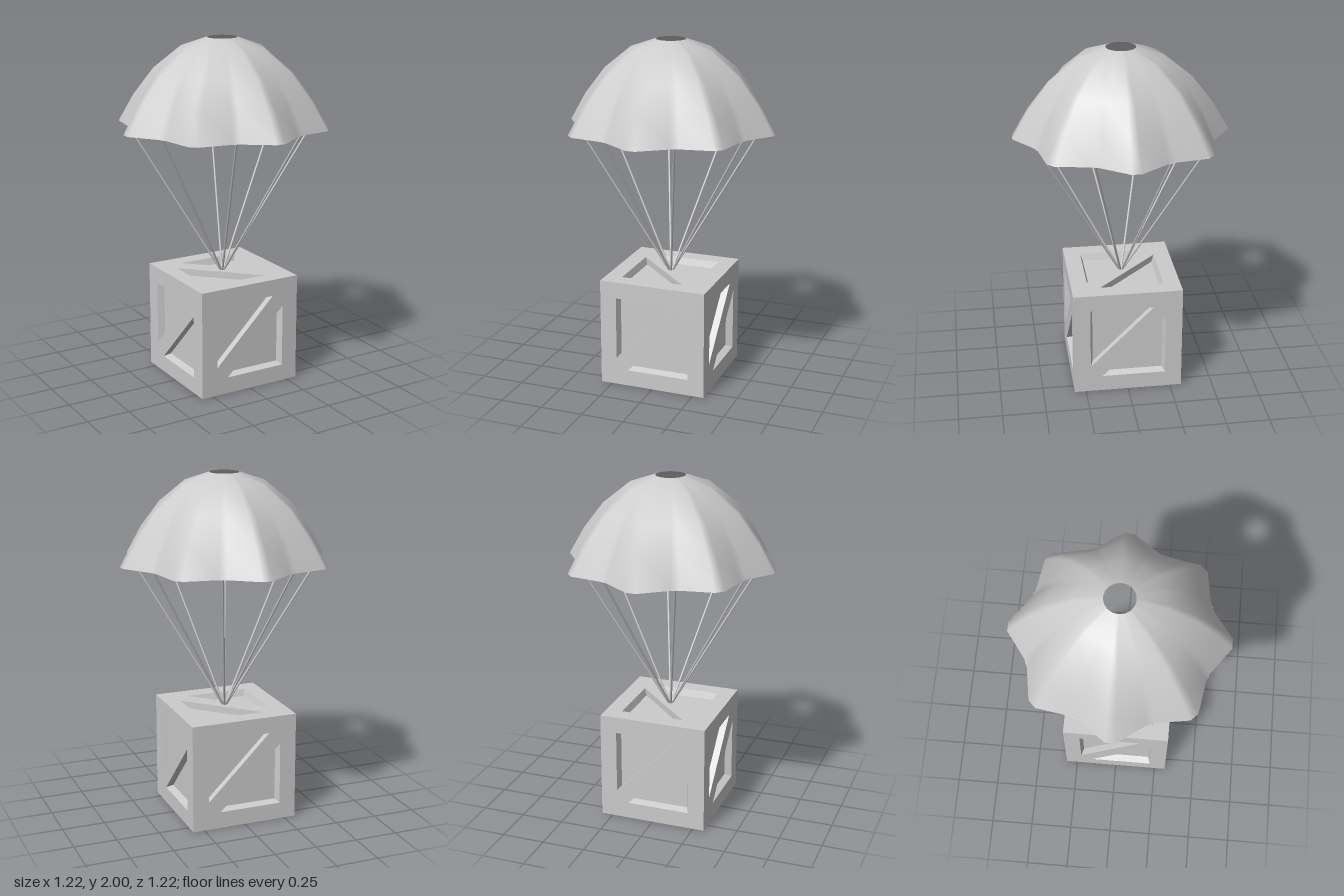
import * as THREE from 'three';

const grey = new THREE.MeshStandardMaterial({ color: 0xcccccc });
const greyDouble = new THREE.MeshStandardMaterial({ color: 0xcccccc, side: THREE.DoubleSide });

const HALF = 0.317;          // half the crate's edge
const DEPTH = 0.04;          // depth of the recessed panels
const RIM = 1.5;             // height of the canopy's hem

function addMesh(parent, name, geometry, material) {
  const mesh = new THREE.Mesh(geometry, material);
  mesh.name = name;
  parent.add(mesh);
  return mesh;
}

// Triangular recess: sloped outer walls, straight diagonal wall, flat floor
const outer = [[-0.22, 0.22], [-0.22, -0.15], [0.15, 0.22]];
const inner = [[-0.205, 0.205], [-0.205, -0.135], [0.135, 0.205]];

function recessGeometry() {
  const positions = [];
  const top = (i) => [...outer[i], 0];
  const low = (i) => [...inner[i], -DEPTH];
  for (let i = 0; i < 3; i++) {
    const j = (i + 1) % 3;
    positions.push(...top(i), ...top(j), ...low(j), ...top(i), ...low(j), ...low(i));
  }
  positions.push(...low(0), ...low(1), ...low(2));
  const geometry = new THREE.BufferGeometry();
  geometry.setAttribute('position', new THREE.Float32BufferAttribute(positions, 3));
  geometry.computeVertexNormals();
  return geometry;
}

// Flat square frame with two triangular openings, leaving a diagonal brace
function frameGeometry() {
  const corners = [[-HALF, -HALF], [HALF, -HALF], [HALF, HALF], [-HALF, HALF]];
  const shape = new THREE.Shape(corners.map(([x, y]) => new THREE.Vector2(x, y)));
  for (const s of [1, -1]) {
    shape.holes.push(new THREE.Path(outer.map(([x, y]) => new THREE.Vector2(s * x, s * y))));
  }
  return new THREE.ShapeGeometry(shape);
}

function createCrate() {
  const crate = new THREE.Group();
  crate.name = 'crate';
  const frame = frameGeometry();
  const recess = recessGeometry();
  const q = Math.PI / 2;
  // rotation about x, about y, and within the face
  const sides = [
    ['front', 0, 0, 0], ['left', 0, q, 0], ['back', 0, 2 * q, 0], ['right', 0, -q, 0],
    ['top', -q, 0, q], ['bottom', q, 0, q],
  ];
  for (const [name, rx, ry, rz] of sides) {
    const side = new THREE.Group();
    side.name = name + 'Side';
    side.rotation.set(rx, ry, rz);
    side.translateZ(HALF);
    addMesh(side, 'frame', frame, grey);
    addMesh(side, 'upperPanel', recess, grey);
    addMesh(side, 'lowerPanel', recess, grey).rotation.z = Math.PI;
    crate.add(side);
  }
  crate.position.y = HALF;
  return crate;
}

// Open canopy: eight ridges with valleys between, folds deepening to the hem
function canopyGeometry() {
  // ridge radius, height, valley radius relative to the ridge
  const rings = [
    [0.085, 2.0, 1], [0.24, 1.945, 0.965], [0.4, 1.815, 0.925], [0.52, 1.66, 0.89], [0.612, RIM, 0.87],
  ];
  const step = Math.PI / 4;
  const half = 0.046; // half-width angle of each ridge and valley crest
  const positions = [];
  const index = [];
  const n = 32;
  rings.forEach(([r, y, fold], k) => {
    for (let i = 0; i < n; i++) {
      const crest = Math.floor(i / 2);
      const angle = crest * step / 2 + (i % 2 ? half : -half);
      const radius = crest % 2 ? r * fold : r;
      positions.push(radius * Math.sin(angle), y, radius * Math.cos(angle));
      if (k === 0) continue;
      const a = (k - 1) * n + i, b = (k - 1) * n + (i + 1) % n;
      index.push(a, a + n, b + n, a, b + n, b);
    }
  });
  const geometry = new THREE.BufferGeometry();
  geometry.setAttribute('position', new THREE.Float32BufferAttribute(positions, 3));
  geometry.setIndex(index);
  geometry.computeVertexNormals();
  return geometry;
}

// Thin cords from the valleys of the hem down to the crate's lid
function createCords() {
  const cords = new THREE.Group();
  cords.name = 'cords';
  const up = new THREE.Vector3(0, 1, 0);
  for (let i = 0; i < 8; i++) {
    const angle = (i + 0.5) * Math.PI / 4;
    const at = (r, y) => new THREE.Vector3(r * Math.sin(angle), y, r * Math.cos(angle));
    const start = at(0.008, 2 * HALF - 0.005);
    const end = at(0.53, RIM + 0.003);
    const span = end.clone().sub(start);
    const cord = addMesh(cords, 'cord', new THREE.CylinderGeometry(0.006, 0.006, span.length(), 6), grey);
    cord.position.copy(start).addScaledVector(span, 0.5);
    cord.quaternion.setFromUnitVectors(up, span.normalize());
  }
  return cords;
}

export function createModel() {
  const model = new THREE.Group();
  model.name = 'parachuteCrate';
  model.add(createCrate(), createCords());
  addMesh(model, 'canopy', canopyGeometry(), greyDouble);
  return model;
}
